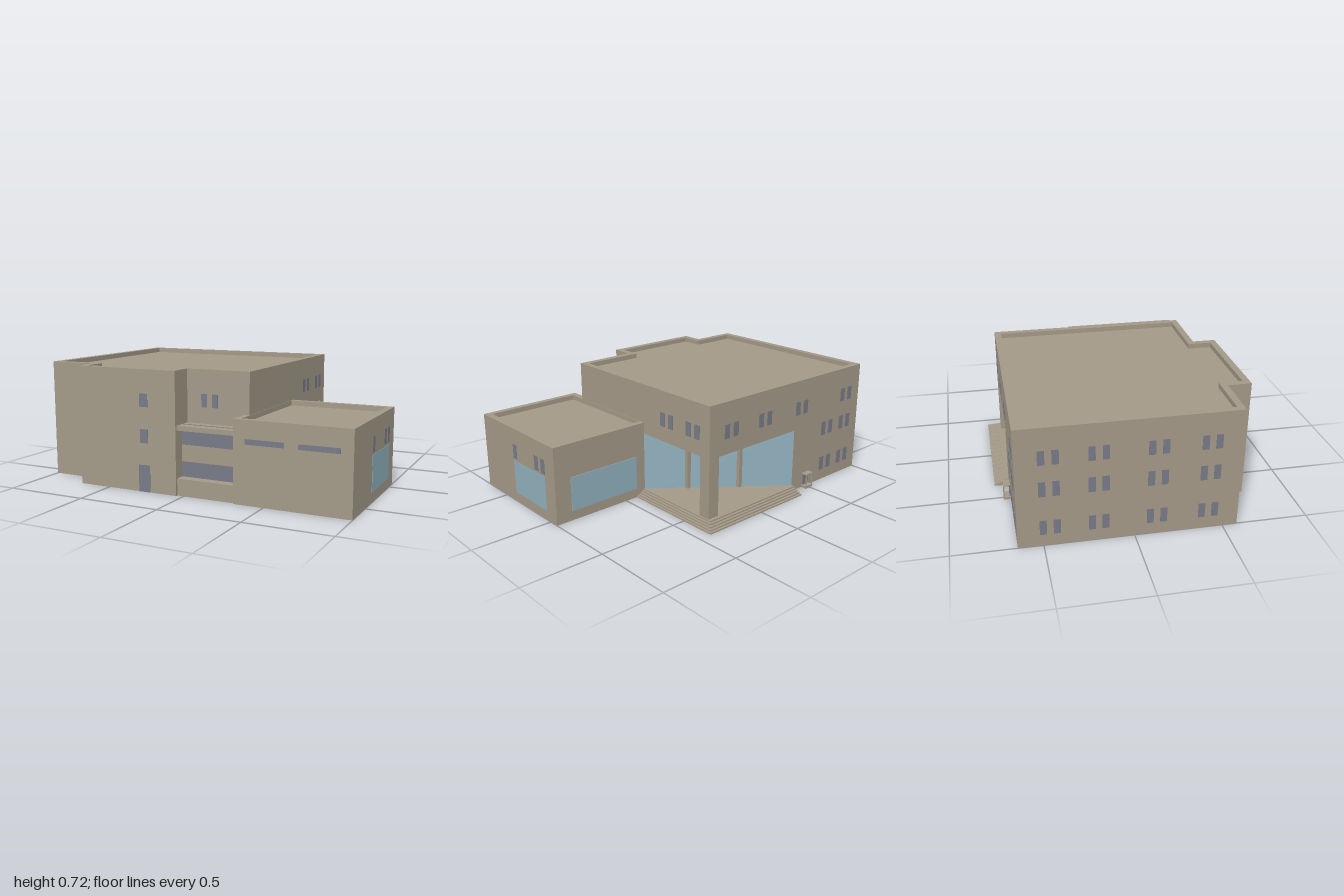
import * as THREE from 'three';

export function createModel() {
  const model = new THREE.Group();
  const wallMat = new THREE.MeshStandardMaterial({ color: 0xa39988, side: THREE.DoubleSide });
  wallMat.name = 'stone';
  const windowMat = new THREE.MeshStandardMaterial({ color: 0x777b87 });
  windowMat.name = 'slate window';
  const glassMat = new THREE.MeshStandardMaterial({ color: 0x90b0bc, side: THREE.DoubleSide });
  glassMat.name = 'blue glass';

  function add(name, geometry, material = wallMat) {
    const mesh = new THREE.Mesh(geometry, material);
    mesh.name = name;
    model.add(mesh);
    return mesh;
  }

  // Box given by its limits
  function box(name, x0, x1, y0, y1, z0, z1, material) {
    const mesh = add(name, new THREE.BoxGeometry(x1 - x0, y1 - y0, z1 - z0), material);
    mesh.position.set((x0 + x1) / 2, (y0 + y1) / 2, (z0 + z1) / 2);
    return mesh;
  }

  // Upright sheet from one ground point to another
  function wall(name, [x0, z0], [x1, z1], y0, y1, material) {
    const mesh = add(name, new THREE.PlaneGeometry(Math.hypot(x1 - x0, z1 - z0), y1 - y0), material);
    mesh.position.set((x0 + x1) / 2, (y0 + y1) / 2, (z0 + z1) / 2);
    mesh.rotation.y = Math.atan2(z0 - z1, x1 - x0);
    return mesh;
  }

  const outline = (pts) => pts.map(([x, z]) => new THREE.Vector2(x, -z));

  // Sunken flat roof with a parapet around it
  function roof(name, outer, inner, top, depth) {
    const shape = new THREE.Shape(outline(outer));
    shape.holes.push(new THREE.Path(outline(inner)));
    const rim = new THREE.ExtrudeGeometry(shape, { depth, bevelEnabled: false });
    rim.rotateX(-Math.PI / 2);
    add(name + 'Parapet', rim).position.y = top - depth;
    const deck = new THREE.ShapeGeometry(new THREE.Shape(outline(outer)));
    deck.rotateX(-Math.PI / 2);
    add(name + 'Roof', deck).position.y = top - depth;
  }

  const H = 0.717, S = 0.475, P = 0.405;       // main, side block and porch heights
  const F = 0.725, M = 0.585, B = -0.64, E = -0.065;

  // Main block
  roof('main',
    [[-1, B], [0.355, B], [0.355, M], [-0.04, M], [-0.04, F], [-0.7, F], [-0.7, M], [-1, M]],
    [[-0.96, -0.6], [0.315, -0.6], [0.315, 0.545], [-0.08, 0.545], [-0.08, 0.685],
      [-0.66, 0.685], [-0.66, 0.545], [-0.96, 0.545]], H, 0.03);
  wall('leftWall', [-1, B], [-1, M], 0, H);
  wall('frontLeftWall', [-1, M], [-0.7, M], 0, H);
  wall('bayLeftWall', [-0.7, M], [-0.7, F], 0, H);
  wall('bayFrontWall', [-0.7, F], [-0.04, F], 0, H);
  wall('bayRightWall', [-0.04, F], [-0.04, M], 0, H);
  wall('upperFrontWall', [-0.04, M], [0.355, M], P - 0.02, H);
  wall('upperRightWall', [0.355, M], [0.355, E], S - 0.03, H);
  wall('porchRightLintel', [0.355, E], [0.355, B], P, H);
  wall('porchBackLintel', [0.355, B], [-0.365, B], P, H);
  wall('backWall', [-0.365, B], [-1, B], 0, H);

  // Side block
  roof('side', [[0.32, E], [1, E], [1, F], [0.32, F]],
    [[0.358, -0.028], [0.96, -0.028], [0.96, 0.688], [0.358, 0.688]], S, 0.03);
  wall('sideFrontWall', [0.32, F], [1, F], 0, S);
  wall('sideRightWall', [1, F], [1, E], 0, S);
  wall('sideBackWall', [1, E], [0.355, E], 0, S);
  wall('sideLeftWall', [0.32, M], [0.32, F], 0, S);

  // Recessed entrance bay at the front
  box('recessBase', -0.04, 0.32, 0, 0.1, M, 0.712);
  box('recessCanopy', -0.04, 0.32, 0.378, P, M, 0.712);
  box('recessMiddlePanel', -0.04, 0.32, 0.19, 0.287, 0.64, 0.655);
  box('recessLowerWindow', -0.04, 0.32, 0.1, 0.19, 0.645, 0.653, windowMat);
  box('recessUpperWindow', -0.04, 0.32, 0.287, 0.407, 0.645, 0.653, windowMat);

  // Corner porch: ceiling, pillar, slanted glass wall with columns, steps
  const ceiling = new THREE.ShapeGeometry(new THREE.Shape(outline([[0.355, E], [0.355, B], [-0.365, B]])));
  ceiling.rotateX(-Math.PI / 2);
  add('porchCeiling', ceiling).position.y = P;
  box('porchPillar', 0.28, 0.355, 0, P, B, -0.565);
  wall('porchGlass', [0.355, E], [-0.365, B], 0, P, glassMat);
  for (const z of [-0.232, -0.432]) {
    const x = 0.355 + (z - E) * 0.72 / 0.575;
    box('porchColumn', x - 0.013, x + 0.013, 0, P, z - 0.013, z + 0.013);
  }
  for (let i = 0; i < 5; i++) {
    box('porchStep', -0.365, 0.42 - 0.014 * i, 0.008 * i, 0.008 * (i + 1), -0.725 + 0.016 * i, E);
  }

  // Small back door shelter
  box('shelterRoof', -0.525, -0.46, 0.09, 0.097, -0.68, B);
  box('shelterDoor', -0.515, -0.47, 0.015, 0.085, B - 0.006, B, windowMat);
  box('shelterStep', -0.525, -0.46, 0, 0.015, -0.68, B);
  for (const x of [-0.523, -0.468]) box('shelterPost', x, x + 0.006, 0.015, 0.09, -0.68, -0.674);

  // Windows as thin plates: facing z, or facing x
  const T = 0.004;
  const zWindow = (x0, x1, y0, y1, z, mat = windowMat, name = 'window') =>
    box(name, x0, x1, y0, y1, z - T, z + T, mat);
  const xWindow = (z0, z1, y0, y1, x, mat = windowMat, name = 'window') =>
    box(name, x - T, x + T, y0, y1, z0, z1, mat);
  const rows = [[0.07, 0.16], [0.31, 0.4], [0.5, 0.585]];

  // Front
  for (const [y0, y1] of rows) zWindow(-0.772, -0.735, y0, y1, M);
  zWindow(-0.275, -0.222, 0.29, 0.37, F - 0.001);
  zWindow(-0.275, -0.222, 0.5, 0.577, F - 0.001);
  zWindow(-0.287, -0.212, 0, 0.16, F - 0.001, windowMat, 'frontDoor');
  for (const x of [0.053, 0.121]) zWindow(x, x + 0.036, 0.5, 0.577, M);
  for (const x of [0.39, 0.7]) zWindow(x, x + 0.23, 0.34, 0.37, F - 0.001, windowMat, 'stripWindow');

  // Right
  for (const z of [0.342, 0.104, 0.034]) xWindow(z, z + 0.04, 0.285, 0.375, 0.998);
  for (const z of [-0.265, -0.336, -0.489, -0.56]) xWindow(z, z + 0.041, 0.5, 0.585, 0.355);
  xWindow(0.035, 0.38, 0.06, 0.27, 0.998, glassMat, 'sideGlass');
  zWindow(0.42, 0.895, 0.06, 0.27, E, glassMat, 'sideBackGlass');

  // Back
  for (const x of [0.22, -0.06, -0.39, -0.83]) {
    for (const c of [x, x - 0.07]) zWindow(c - 0.019, c + 0.019, 0.5, 0.585, B);
  }
  for (const [y0, y1] of rows.slice(0, 2)) {
    for (const c of [-0.65, -0.72, -0.83, -0.9]) zWindow(c - 0.019, c + 0.019, y0, y1, B);
  }

  // Left
  for (const [y0, y1] of rows) {
    for (const z of [-0.5, -0.235, 0.085, 0.375]) {
      for (const c of [z, z + 0.075]) xWindow(c - 0.019, c + 0.019, y0, y1, -0.9985);
    }
  }
  return model;
}
